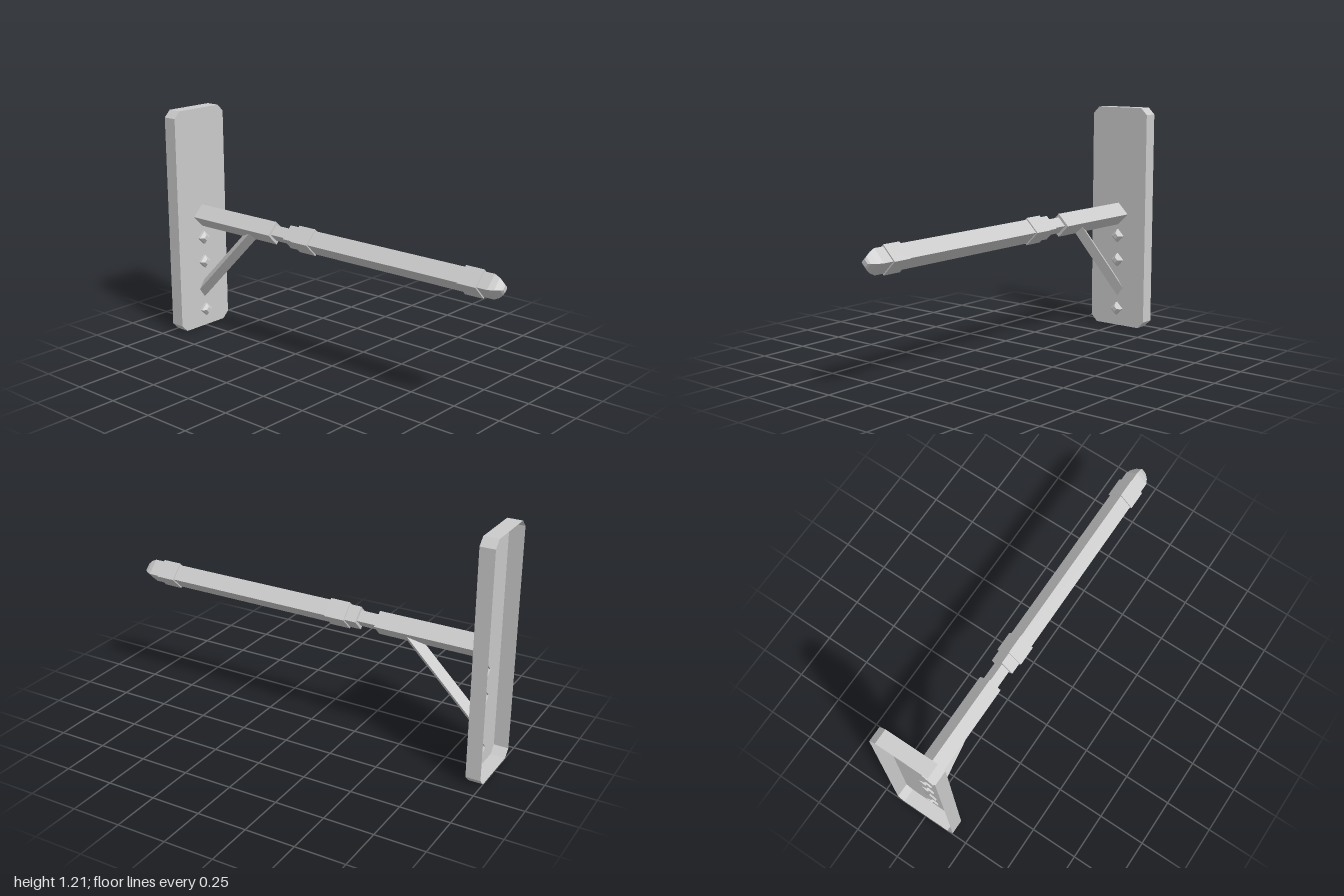
import * as THREE from 'three';

const material = new THREE.MeshStandardMaterial({ color: 0xcccccc, flatShading: true, side: THREE.DoubleSide });

// Four-cornered section [x, ring] with half height ry and half width rz.
const diamond = (x, y, ry, rz = ry) => [x, [[y + ry, 0], [y, rz], [y - ry, 0], [y, -rz]]];

// Joins rings of [y, z] points along x, with optional caps at either end.
function loft(name, sections, startCap = true, endCap = true) {
  const pos = [];
  const tri = (...corners) => corners.forEach(([x, [y, z]]) => pos.push(x, y, z));
  const n = sections[0][1].length;
  for (let s = 0; s < sections.length - 1; s++) {
    const [xa, a] = sections[s];
    const [xb, b] = sections[s + 1];
    for (let i = 0; i < n; i++) {
      const j = (i + 1) % n;
      tri([xa, a[i]], [xa, a[j]], [xb, b[j]]);
      tri([xa, a[i]], [xb, b[j]], [xb, b[i]]);
    }
  }
  const [x0, first] = sections[0];
  const [x1, last] = sections[sections.length - 1];
  for (let i = 1; i < n - 1; i++) {
    if (startCap) tri([x0, first[0]], [x0, first[i + 1]], [x0, first[i]]);
    if (endCap) tri([x1, last[0]], [x1, last[i]], [x1, last[i + 1]]);
  }
  const geometry = new THREE.BufferGeometry();
  geometry.setAttribute('position', new THREE.Float32BufferAttribute(pos, 3));
  geometry.computeVertexNormals();
  const mesh = new THREE.Mesh(geometry, material);
  mesh.name = name;
  return mesh;
}

export function createModel() {
  const group = new THREE.Group();
  group.name = 'wallBracket';
  const face = -0.925;
  const armY = 0.628;

  // Wall plate: chamfered corners, hollow and open at the back
  const top = 1.21, w = 0.172, c = 0.036;
  const outline = [
    [0, -w + c], [c, -w], [top - c, -w], [top, -w + c],
    [top, w - c], [top - c, w], [c, w], [0, w - c],
  ];
  group.add(loft('wallPlate', [[-1, outline], [face, outline]], false, true));

  // Horizontal arm: square bars set on edge, each [name, start, end, radius]
  const bars = [
    ['armBase', face - 0.008, -0.375, 0.06],
    ['neck', -0.375, -0.275, 0.041],
    ['shaft', -0.275, 0.8, 0.06],
    ['innerCollar', -0.215, -0.11, 0.069],
    ['outerCollar', 0.79, 0.89, 0.069],
  ];
  for (const [name, x0, x1, r] of bars) {
    group.add(loft(name, [diamond(x0, armY, r), diamond(x1, armY, r)]));
  }

  // Rounded tip
  const tip = [[0.88, 0.06], [0.945, 0.06], [0.972, 0.047], [0.992, 0.029], [1, 0.016]];
  group.add(loft('armTip', tip.map(([x, r]) => diamond(x, armY, r))));

  // Diagonal brace, cut upright where it meets the plate
  const brace = [face - 0.008, -0.52].map((x) => diamond(x, 0.215 + x - face, 0.049, 0.035));
  group.add(loft('brace', brace));

  // Bolts with bevelled heads, open behind the plate
  for (const y of [0.095, 0.37, 0.505]) {
    const bolt = [[face - 0.008, 0.036], [-0.911, 0.036], [-0.896, 0.016]];
    group.add(loft('bolt', bolt.map(([x, r]) => diamond(x, y, r)), false));
  }

  return group;
}
